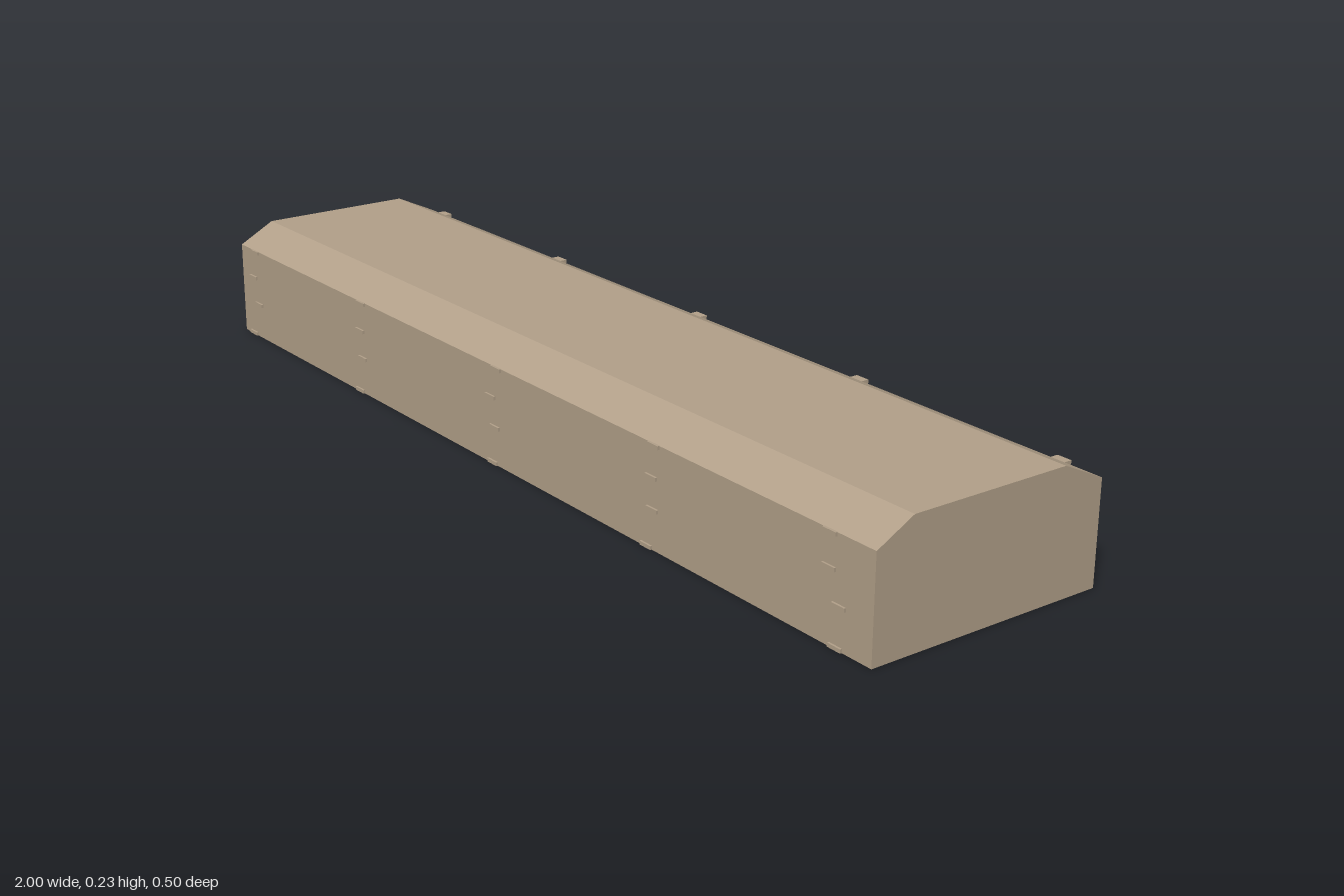
import * as THREE from 'three';

export function createModel() {
  const model = new THREE.Group();
  const stone = new THREE.MeshStandardMaterial({ color: 0xb3a18a, flatShading: true });
  stone.name = 'sandstone';

  // Long block with two unequal chamfers; profile as [z, y]
  const profile = [[0.247, 0], [0.247, 0.192], [0.173, 0.232], [-0.149, 0.232], [-0.235, 0.192], [-0.235, 0]];
  const shape = new THREE.Shape(profile.map(([z, y]) => new THREE.Vector2(-z, y)));
  const blockGeo = new THREE.ExtrudeGeometry(shape, { depth: 2, bevelEnabled: false });
  blockGeo.translate(0, 0, -1).rotateY(Math.PI / 2);
  const block = new THREE.Mesh(blockGeo, stone);
  block.name = 'block';
  model.add(block);

  // Small pegs in five uneven columns per long side; rows run from top to bottom
  const rows = [0.189, 0.131, 0.074, 0.004];
  const frontColumns = [
    [-0.937, -0.95, -0.93, -0.96],
    [-0.49, -0.497, -0.49, -0.503],
    [-0.005, -0.025, -0.012, -0.02],
    [0.465, 0.459, 0.463, 0.447],
    [0.9, 0.9, 0.925, 0.92],
  ];
  const backColumns = [
    [-0.957, -0.952, -0.945, -0.975],
    [-0.505, -0.485, -0.47, -0.477],
    [-0.033, -0.035, -0.035, -0.032],
    [0.427, 0.423, 0.445, 0.41],
    [0.907, 0.915, 0.935, 0.93],
  ];

  function addPegs(name, columns, zInner, zOuter) {
    const group = new THREE.Group();
    group.name = name;
    const geo = new THREE.BoxGeometry(0.03, 0.007, Math.abs(zOuter - zInner));
    for (const column of columns) {
      column.forEach((x, i) => {
        const peg = new THREE.Mesh(geo, stone);
        peg.name = 'peg';
        peg.position.set(x, rows[i], (zInner + zOuter) / 2);
        group.add(peg);
      });
    }
    model.add(group);
  }
  addPegs('frontPegs', frontColumns, 0.235, 0.251);
  addPegs('backPegs', backColumns, -0.225, -0.25);

  return model;
}
